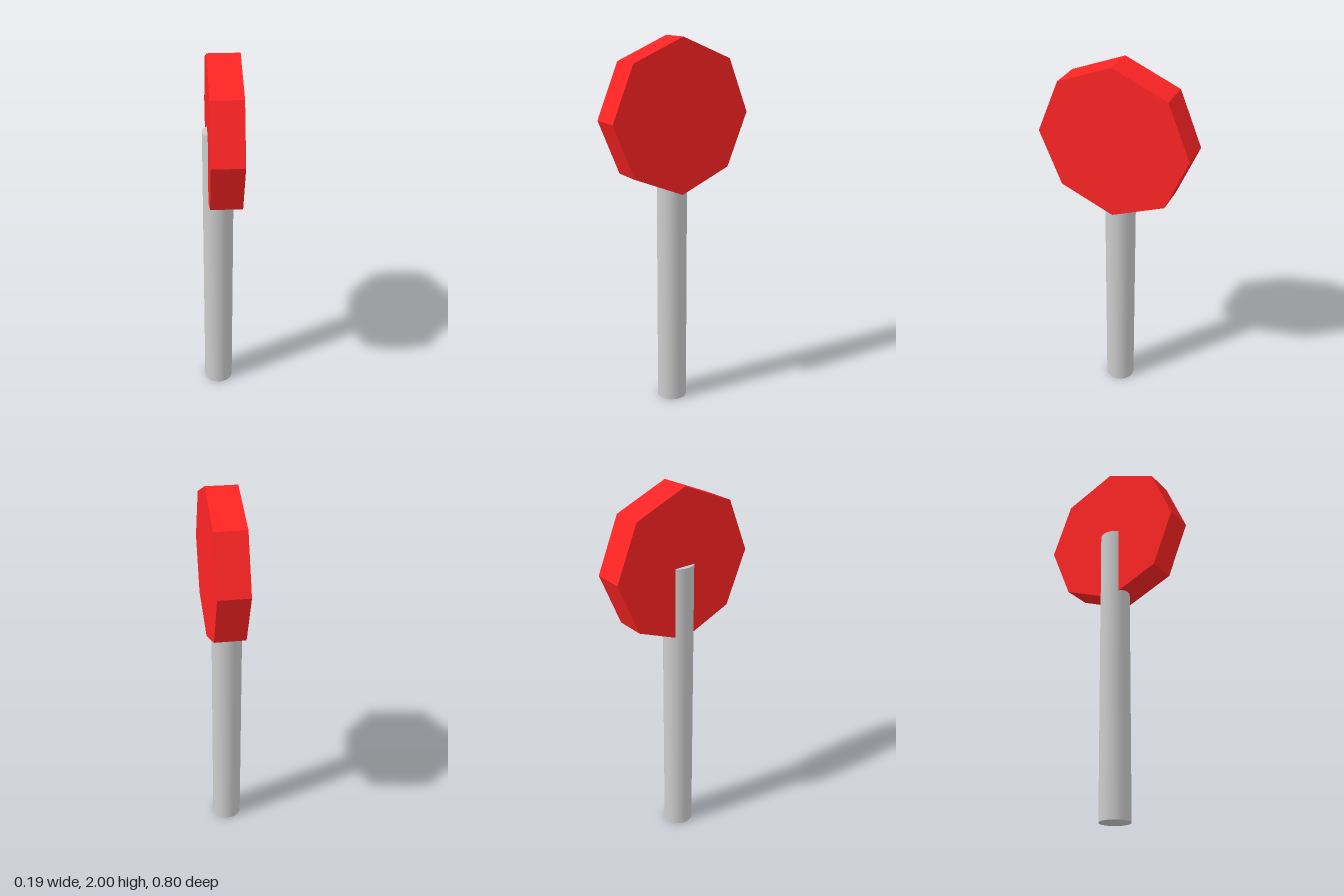
import * as THREE from 'three';

export function createModel() {
  const model = new THREE.Group();

  const addPart = (name, geometry, material, x, y) => {
    const mesh = new THREE.Mesh(geometry, material);
    mesh.name = name;
    mesh.position.set(x, y, 0);
    model.add(mesh);
    return mesh;
  };

  // Round post, reaching halfway up the panel and half sunk into its back
  addPart(
    'post',
    new THREE.CylinderGeometry(0.08, 0.08, 1.6, 32),
    new THREE.MeshStandardMaterial({ color: 0xcccccc }),
    -0.0133, 0.8
  );

  // Thick eight-sided panel standing on a corner, facing along x
  const panel = new THREE.CylinderGeometry(0.4, 0.4, 0.16, 8);
  panel.rotateZ(-Math.PI / 2);
  addPart(
    'signPanel',
    panel,
    new THREE.MeshStandardMaterial({ color: 0xff2424, flatShading: true }),
    0.0133, 1.6
  );

  return model;
}
